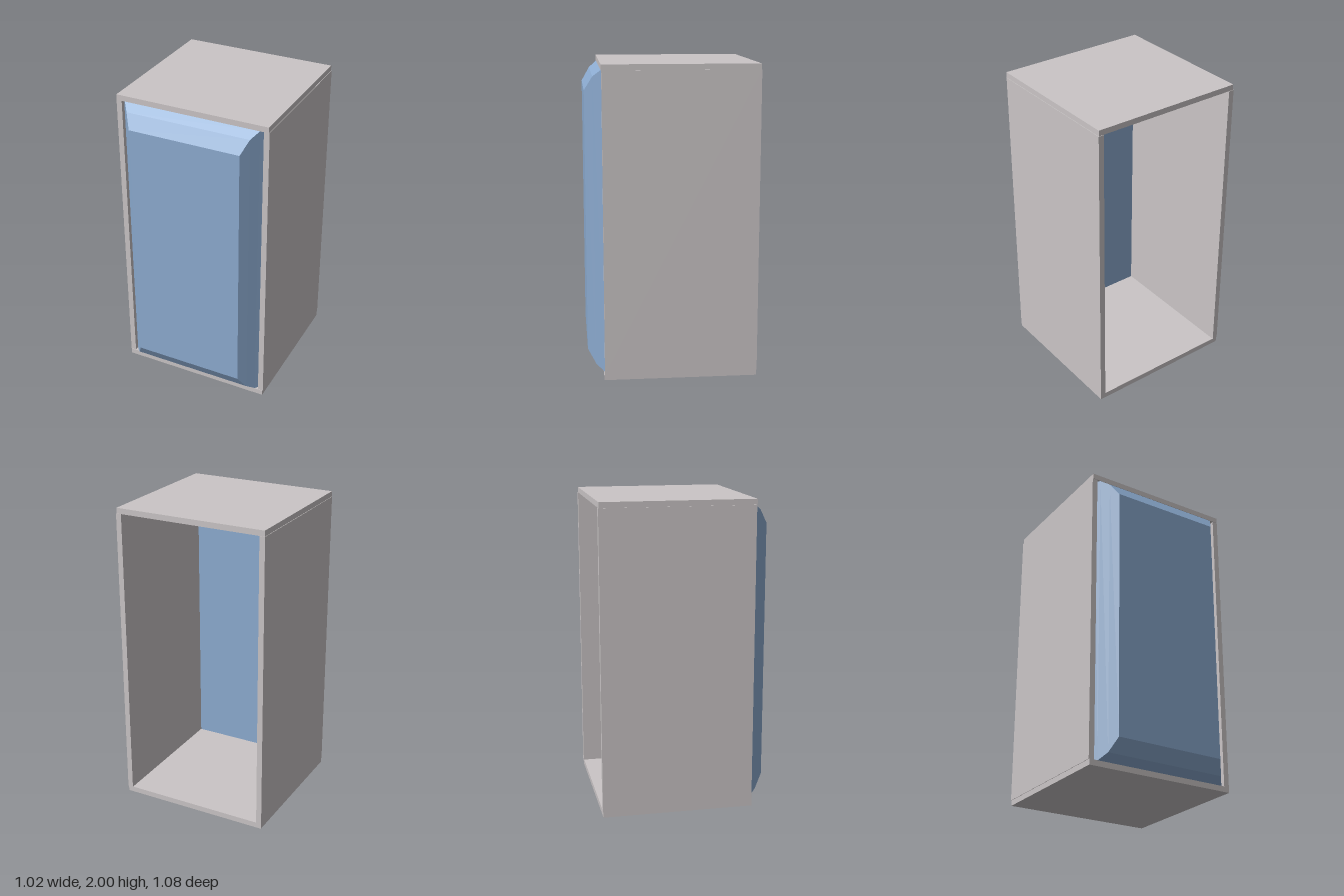
import * as THREE from 'three';

const shellMaterial = new THREE.MeshStandardMaterial({ color: 0xcac5c6, flatShading: true });
const doorMaterial = new THREE.MeshStandardMaterial({ color: 0x8cabd0, flatShading: true });

const THICK = 0.036; // panel thickness
const HEIGHT = 2;

function panel(name, size, position) {
  const mesh = new THREE.Mesh(new THREE.BoxGeometry(...size), shellMaterial);
  mesh.name = name;
  mesh.position.set(...position);
  return mesh;
}

// Solid lofted through rectangles [halfWidth, halfHeight, z], from back to front
function loftRectangles(sections) {
  const rings = sections.map(([w, h, z]) => [[-w, -h, z], [w, -h, z], [w, h, z], [-w, h, z]]);
  const positions = [];
  const quad = (a, b, c, d) => positions.push(...a, ...b, ...c, ...a, ...c, ...d);
  for (let i = 0; i < rings.length - 1; i++) {
    for (let j = 0; j < 4; j++) {
      const k = (j + 1) % 4;
      quad(rings[i][j], rings[i][k], rings[i + 1][k], rings[i + 1][j]);
    }
  }
  const [a, b, c, d] = rings[0];
  quad(d, c, b, a);
  quad(...rings[rings.length - 1]);
  const geometry = new THREE.BufferGeometry();
  geometry.setAttribute('position', new THREE.Float32BufferAttribute(positions, 3));
  geometry.computeVertexNormals();
  return geometry;
}

export function createModel() {
  const model = new THREE.Group();
  model.name = 'cabinet';

  // Open-backed shell: side panels held between the top and bottom panels
  const shell = new THREE.Group();
  shell.name = 'shell';
  for (const [name, side] of [['leftPanel', 1], ['rightPanel', -1]]) {
    shell.add(panel(name, [THICK, HEIGHT - 2 * THICK, 0.978], [side * (0.508 - THICK / 2), HEIGHT / 2, -0.052]));
  }
  for (const [name, y] of [['bottomPanel', THICK / 2], ['topPanel', HEIGHT - THICK / 2]]) {
    shell.add(panel(name, [1.01, THICK, 0.978], [0, y, -0.049]));
  }
  model.add(shell);

  // Door: straight bevels at the sides, two-step bevels at top and bottom
  const door = new THREE.Mesh(loftRectangles([
    [0.472, 0.964, 0.408],
    [0.449, 0.964, 0.437],
    [0.409, 0.922, 0.489],
    [0.368, 0.834, 0.541],
  ]), doorMaterial);
  door.name = 'door';
  door.position.y = HEIGHT / 2;
  model.add(door);

  return model;
}
